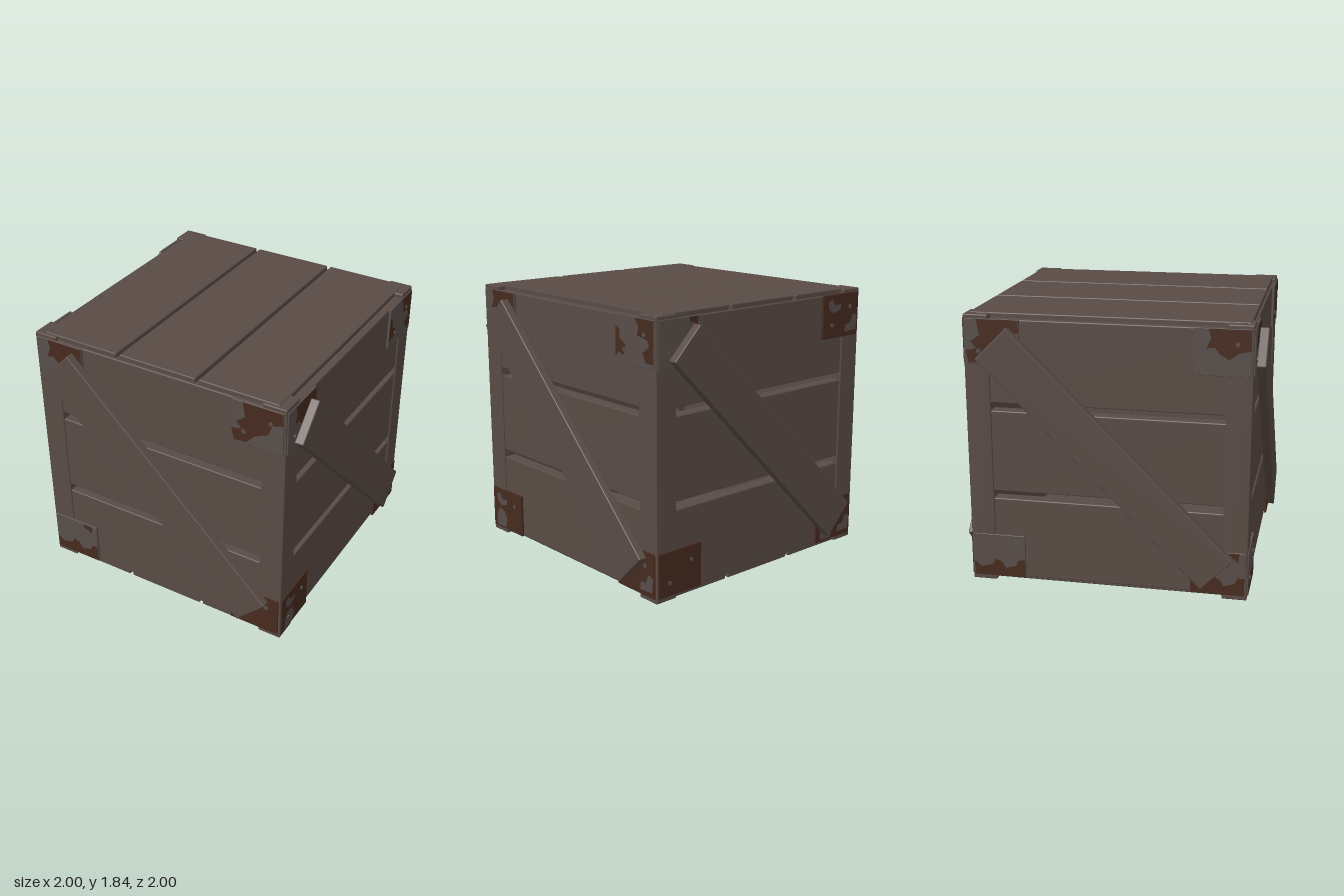
import * as THREE from 'three';
import { RoundedBoxGeometry } from 'three/addons/geometries/RoundedBoxGeometry.js';

const mat = (name, color) => {
  const m = new THREE.MeshStandardMaterial({ color });
  m.name = name;
  return m;
};

export function createModel() {
  const crate = new THREE.Group();
  crate.name = 'crate';
  const wood = mat('wood', 0x594b45);
  const metal = mat('metal', 0x584e4a);
  const rust = mat('rust', 0x462a1e);

  const add = (parent, name, geometry, material, x, y, z) => {
    const mesh = new THREE.Mesh(geometry, material);
    mesh.name = name;
    mesh.position.set(x, y, z);
    parent.add(mesh);
    return mesh;
  };
  // softly bevelled board
  const board = (w, h, d) => new RoundedBoxGeometry(w, h, d, 2, 0.008);

  // lid and floor: three boards each
  for (const [name, y] of [['lidBoard', 1.812], ['floorBoard', 0.028]])
    for (const x of [-0.588, 0, 0.588])
      add(crate, name, board(0.562, 0.056, 1.81), wood, x, y, 0);

  // corner posts
  for (const x of [-1, 1])
    for (const z of [-1, 1])
      add(crate, 'cornerPost', board(0.165, 1.83, 0.165), wood, x * 0.8475, 0.92, z * 0.8475);

  // patch outlines in plate units, 0..1 from the lower left corner
  const top = [[0.25, 1], [1, 1], [1, 0.55], [0.8, 0.5], [0.62, 0.35], [0.47, 0.45], [0.36, 0.6], [0.22, 0.58], [0.3, 0.8]];
  const sweep = [[0.22, 1], [1, 1], [1, 0.72], [0.8, 0.65], [0.72, 0.4], [0.45, 0.25], [0.3, 0.05], [0.05, 0.02],
    [0, 0.3], [0.2, 0.35], [0.1, 0.5], [0.27, 0.65]];
  const floorEdge = [[0, 0], [1, 0], [1, 0.42], [0.88, 0.42], [0.82, 0.28], [0.62, 0.2], [0.55, 0.35], [0.42, 0.42],
    [0.36, 0.28], [0.14, 0.2], [0, 0.34]];
  const chip = [[0.68, 1], [0.9, 1], [0.88, 0.78], [0.8, 0.88], [0.72, 0.88]];
  const rightEdge = [[0.52, 1], [1, 1], [1, 0.1], [0.82, 0.1], [0.72, 0.3], [0.9, 0.45], [0.85, 0.58], [0.58, 0.65], [0.62, 0.82]];
  const leftSpot = [[0, 0.78], [0.12, 0.7], [0.1, 0.52], [0.28, 0.38], [0.22, 0.18], [0.08, 0.22], [0, 0.12]];
  const blotA = [[0.12, 0.85], [0.25, 0.9], [0.32, 0.75], [0.5, 0.78], [0.48, 0.65], [0.3, 0.58], [0.16, 0.66]];
  const blotB = [[0.1, 0.04], [0.42, 0.03], [0.48, 0.25], [0.4, 0.45], [0.2, 0.5], [0.12, 0.3]];
  const lowRight = [[0.62, 0.1], [0.95, 0.12], [0.98, 0.45], [0.85, 0.5], [0.78, 0.3], [0.64, 0.28]];

  // per side, plates in order: top left, top right, bottom left, bottom right
  const M = (...patches) => ({ base: metal, over: rust, patches });
  const R = (...patches) => ({ base: rust, over: metal, patches });
  const sides = [
    ['front', [M(top), M(sweep), M(floorEdge, chip), R()]],
    ['left', [M(top), M(rightEdge, leftSpot), R(blotA, blotB), R(lowRight)]],
    ['back', [M(chip), R(blotA, lowRight), R(), R(blotB, lowRight)]],
    ['right', [M(sweep), M(top), M(floorEdge), M(floorEdge, chip)]],
  ];

  const plateW = 0.36, plateH = 0.3;
  const plateGeo = new RoundedBoxGeometry(plateW, plateH, 0.018, 1, 0.003);
  const boltGeo = new THREE.CylinderGeometry(0.015, 0.015, 0.012, 12).rotateX(Math.PI / 2);
  const slatGeo = board(1.76, 0.554, 0.09);
  const braceGeo = board(2.08, 0.295, 0.062);

  sides.forEach(([sideName, plates], i) => {
    const side = new THREE.Group();
    side.name = sideName + 'Side';
    side.rotation.y = i * Math.PI / 2;
    crate.add(side);

    // horizontal slats, set slightly back from the posts
    for (const y of [0.317, 0.923, 1.53])
      add(side, 'slat', slatGeo, wood, 0, y, 0.875);

    // diagonal brace, leaning out a little at its upper end
    const brace = add(side, 'diagonalBrace', braceGeo, wood, 0, 0.926, 0.964);
    brace.rotation.set(0, 0.005, -Math.PI / 4);

    // corner plates with patches and bolts
    plates.forEach(({ base, over, patches }, k) => {
      const corner = new THREE.Group();
      corner.name = 'cornerPlate';
      corner.position.set(k % 2 ? 0.736 : -0.738, k < 2 ? 1.66 : 0.187, 0.929);
      side.add(corner);
      add(corner, 'plate', plateGeo, base, 0, 0, 0);
      for (const outline of patches) {
        const shape = new THREE.Shape(outline.map(([u, v]) =>
          new THREE.Vector2((u - 0.5) * (plateW - 0.006), (v - 0.5) * (plateH - 0.006))));
        add(corner, 'platePatch', new THREE.ShapeGeometry(shape), over, 0, 0, 0.0105);
      }
      for (const [u, v] of [[0.25, 0.3], [0.76, 0.68]])
        add(corner, 'bolt', boltGeo, metal, (u - 0.5) * plateW, (v - 0.5) * plateH, 0.009);
    });
  });

  return crate;
}
